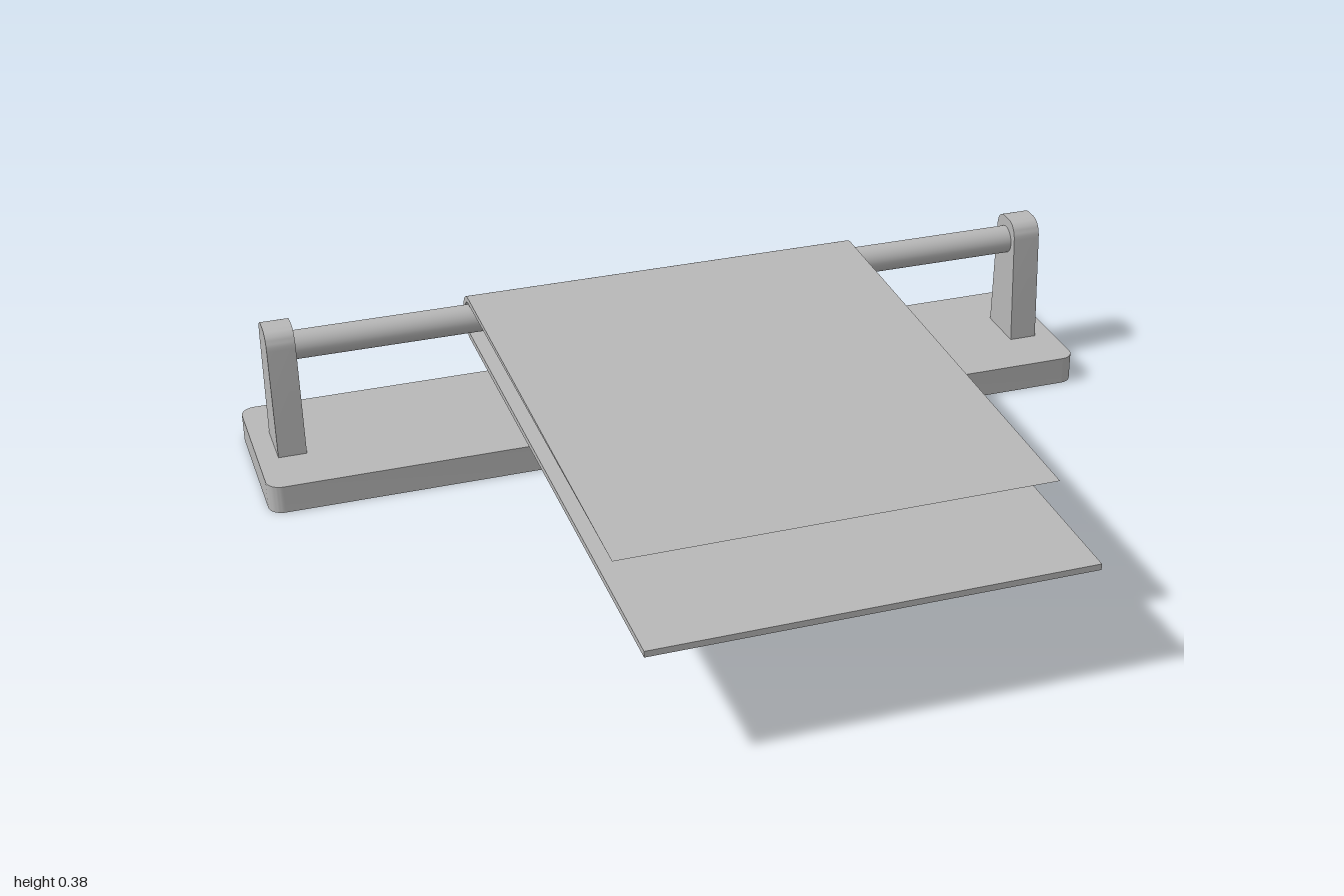
import * as THREE from 'three';
import { toCreasedNormals } from 'three/addons/utils/BufferGeometryUtils.js';

const BAR_Z = -0.597, BAR_Y = 0.317;

// Extrudes a (z, y) outline along x, centred on x = 0
function extrudeAcross(shape, width, curveSegments) {
  const g = new THREE.ExtrudeGeometry(shape, { depth: width, bevelEnabled: false, curveSegments });
  g.translate(0, 0, -width / 2);
  g.rotateY(-Math.PI / 2);
  return toCreasedNormals(g, 0.6);
}

export function createModel() {
  const group = new THREE.Group();
  const metal = new THREE.MeshStandardMaterial({ color: 0xb8b8b8 });
  metal.name = 'plain grey';

  function add(name, geometry, x = 0, y = 0, z = 0) {
    const mesh = new THREE.Mesh(geometry, metal);
    mesh.name = name;
    mesh.position.set(x, y, z);
    group.add(mesh);
  }

  // Base plate with rounded corners
  const w = 1, d = 0.2, r = 0.035;
  const plate = new THREE.Shape();
  plate.absarc(w - r, d - r, r, 0, Math.PI / 2);
  plate.absarc(-w + r, d - r, r, Math.PI / 2, Math.PI);
  plate.absarc(-w + r, -d + r, r, Math.PI, Math.PI * 1.5);
  plate.absarc(w - r, -d + r, r, Math.PI * 1.5, Math.PI * 2);
  plate.closePath();
  const plateGeometry = new THREE.ExtrudeGeometry(plate, { depth: 0.067, bevelEnabled: false, curveSegments: 6 });
  plateGeometry.rotateX(-Math.PI / 2);
  add('basePlate', toCreasedNormals(plateGeometry, 0.6), 0, 0, BAR_Z);

  // Tapered end posts with rounded tops
  const post = new THREE.Shape();
  post.moveTo(-0.064, 0.06);
  post.lineTo(0.064, 0.06);
  post.lineTo(0.051, 0.333);
  post.bezierCurveTo(0.05, 0.358, 0.036, 0.375, 0.012, 0.375);
  post.lineTo(-0.012, 0.375);
  post.bezierCurveTo(-0.036, 0.375, -0.05, 0.358, -0.051, 0.333);
  post.closePath();
  const postGeometry = extrudeAcross(post, 0.066, 8);
  add('leftPost', postGeometry, 0.92, 0, BAR_Z);
  add('rightPost', postGeometry, -0.92, 0, BAR_Z);

  // Rail between the posts
  const rail = new THREE.CylinderGeometry(0.0335, 0.0335, 1.8, 32);
  rail.rotateZ(Math.PI / 2);
  add('rail', rail, 0, BAR_Y, BAR_Z);

  // Towel folded round the back of the rail, with a longer lower half
  const outer = 0.0525, inner = 0.0385, topEnd = 1.188, lowEnd = 1.394;
  const towel = new THREE.Shape();
  towel.moveTo(topEnd, outer);
  towel.absarc(0, 0, outer, Math.PI / 2, Math.PI * 1.5, false);
  towel.lineTo(lowEnd, -outer);
  towel.lineTo(lowEnd, -inner);
  towel.absarc(0, 0, inner, Math.PI * 1.5, Math.PI / 2, true);
  towel.lineTo(topEnd, inner);
  towel.closePath();
  add('towel', extrudeAcross(towel, 0.95, 16), 0, BAR_Y, BAR_Z);

  return group;
}
